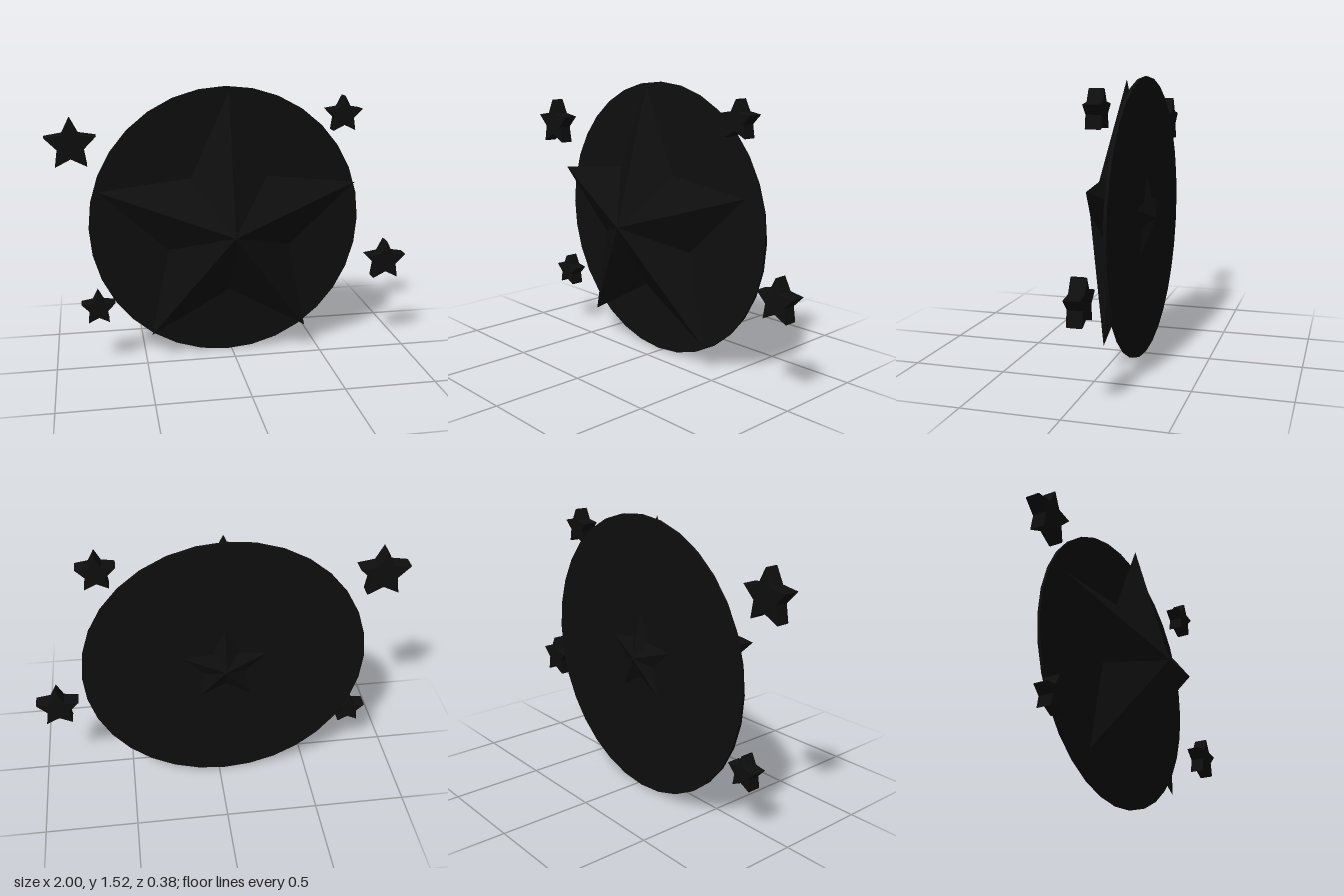
import * as THREE from 'three';

const CX = -0.03, CY = 0.762;
const material = new THREE.MeshStandardMaterial({ color: 0x0e0e0e, flatShading: true });
const discMaterial = new THREE.MeshStandardMaterial({ color: 0x0e0e0e });

// Ten outline points of a five-pointed star, counter-clockwise from the top tip
function starPoints(outer, inner) {
  return Array.from({ length: 10 }, (_, i) => {
    const a = Math.PI / 2 + (i * Math.PI) / 5;
    const r = i % 2 ? inner : outer;
    return new THREE.Vector2(r * Math.cos(a), r * Math.sin(a));
  });
}

// Faceted star: outline in one plane, joined to a front and a back apex
function facetedStar(outer, inner, rimZ, frontZ, backZ) {
  const pts = starPoints(outer, inner);
  const pos = [];
  pts.forEach((p, i) => {
    const q = pts[(i + 1) % 10];
    pos.push(0, 0, frontZ, p.x, p.y, rimZ, q.x, q.y, rimZ);
    pos.push(0, 0, backZ, q.x, q.y, rimZ, p.x, p.y, rimZ);
  });
  const geometry = new THREE.BufferGeometry();
  geometry.setAttribute('position', new THREE.Float32BufferAttribute(pos, 3));
  geometry.computeVertexNormals();
  return geometry;
}

// Solid little star with a fine bevel
function solidStar(radius) {
  const bevel = 0.004;
  const r = radius - bevel * 1.6;
  return new THREE.ExtrudeGeometry(new THREE.Shape(starPoints(r, r * 0.5)), {
    depth: 0.072, bevelEnabled: true, bevelSize: bevel, bevelThickness: bevel, bevelSegments: 1,
  });
}

export function createModel() {
  const group = new THREE.Group();
  const add = (name, geometry, mat, x, y, z) => {
    const mesh = new THREE.Mesh(geometry, mat);
    mesh.name = name;
    mesh.position.set(x, y, z);
    group.add(mesh);
  };

  // Thin round backing plate
  const disc = new THREE.CylinderGeometry(CY, CY, 0.016, 32).rotateX(Math.PI / 2);
  add('backingDisc', disc, discMaterial, CX, CY, -0.128);

  // Large central star, its back apex poking through the plate
  add('mainStar', facetedStar(0.745, 0.355, -0.022, 0.19, -0.19), material, CX, CY, 0);

  // Small stars around the plate: x, y, radius
  [
    [-0.865, 1.247, 0.142],
    [0.608, 1.367, 0.105],
    [0.885, 0.517, 0.122],
    [-0.758, 0.333, 0.097],
  ].forEach(([x, y, r], i) => add(`smallStar${i + 1}`, solidStar(r), material, x, y, -0.091));

  return group;
}
